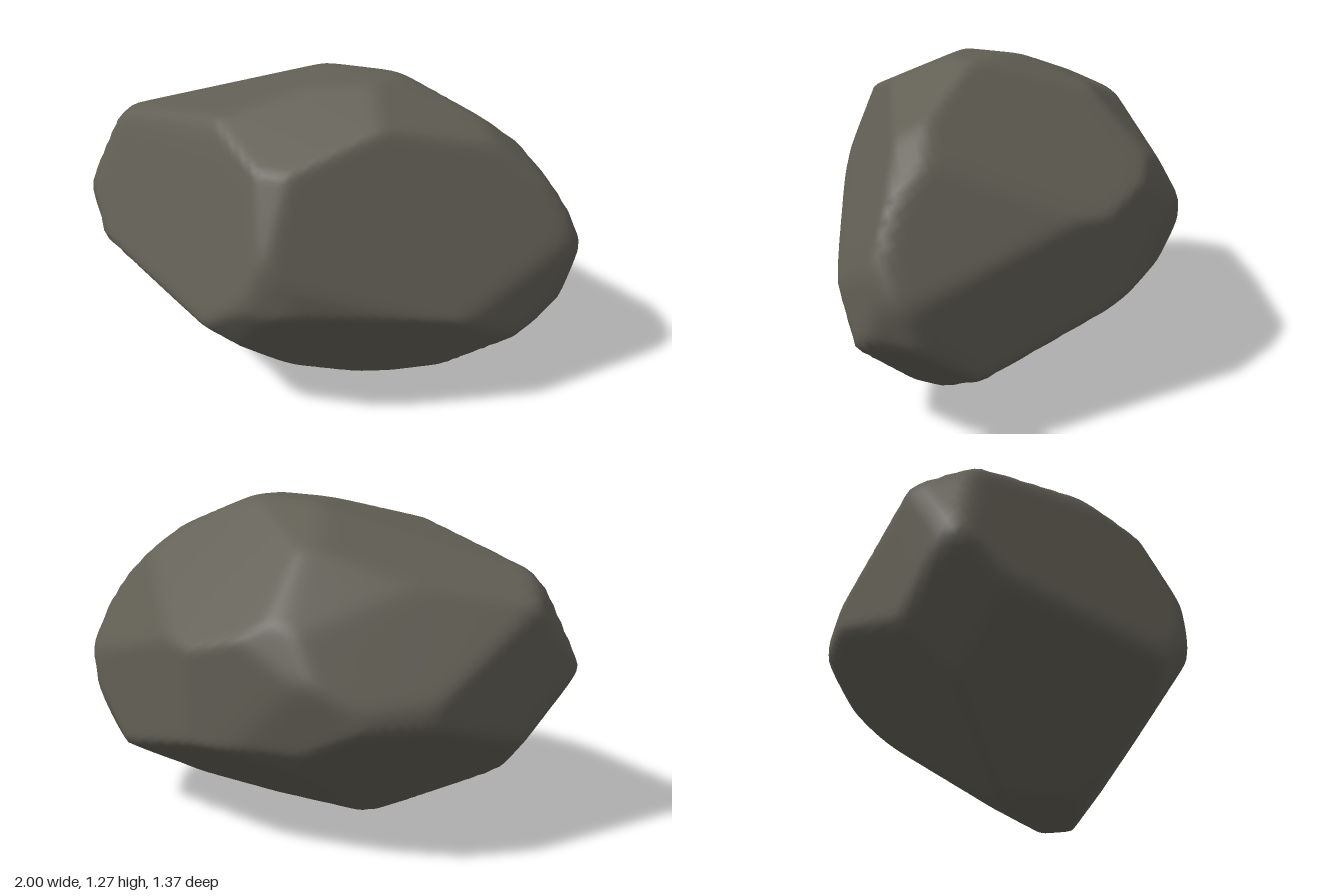
import * as THREE from 'three';
import { mergeVertices } from 'three/addons/utils/BufferGeometryUtils.js';

const MIDDLE = 0.635; // height of the rock's middle
const WEAR = 120;     // higher is sharper

// Corners of the three outlines, a touch generous where the edges wear down
const frontOutline = [[-1.02, .66], [-.75, .26], [-.47, .06], [-.3, -.01], [.15, -.01], [.53, .07], [.95, .43],
  [1.01, .62], [.96, .78], [.87, .91], [.57, 1.165], [.26, 1.28], [0, 1.26], [-.81, 1.025], [-.87, .97]];
const sideOutline = [[.7, .6], [.67, .8], [.53, 1.075], [.08, 1.28], [-.04, 1.275], [-.39, 1.12], [-.62, .9],
  [-.69, .7], [-.64, .43], [-.5, .28], [-.08, -.01], [.2, .03], [.53, .24]];
const topOutline = [[-1.02, .14], [-.99, -.02], [-.62, -.51], [-.4, -.65], [-.2, -.7], [.31, -.6],
  [.98, -.15], [1.01, -.1], [.98, .01], [.62, .375], [.08, .66], [-.07, .695], [-.25, .65]];

// Broad slanted facets: outward direction and distance from the middle
const facets = [
  [-.40, -.76, .51, .58],  // front right underside
  [-.52, .29, .80, .605],  // front right
  [-.50, .56, .66, .675],  // front right shoulder
  [.55, .33, .77, .57],    // front left
  [.31, -.57, .76, .56],   // front left underside
  [.39, .89, .24, .675],   // left crown
  [.32, .71, -.62, .57],   // back left shoulder
  [.60, .44, -.67, .67],   // back left
  [.09, -.84, -.54, .54],  // back underside
  [-.31, .90, -.30, .595], // right crown
  [-.26, .71, -.65, .615], // back right shoulder
  [-.43, .50, -.75, .65],  // back right
  [-.35, -.75, -.55, .57], // back right underside
];

// A cutting plane is stored as its outward direction over its distance
const facetPlanes = () => facets.map(([x, y, z, d]) => new THREE.Vector3(x, y, z).normalize().divideScalar(d));

// One plane through every outline edge; toSpace turns a flat direction into a 3D one
function outlinePlanes(corners, centreHeight, toSpace) {
  return corners.map(([x0, y0], i) => {
    const [x1, y1] = corners[(i + 1) % corners.length];
    const nx = y1 - y0, ny = x0 - x1;
    const d = nx * x0 + ny * (y0 - centreHeight);
    return toSpace(nx / d, ny / d);
  });
}

// A fine ball trimmed by all the planes, with slightly worn edges
function boulderGeometry() {
  const planes = [
    ...facetPlanes(),
    ...outlinePlanes(frontOutline, MIDDLE, (a, b) => new THREE.Vector3(a, b, 0)),
    ...outlinePlanes(sideOutline, MIDDLE, (a, b) => new THREE.Vector3(0, b, a)),
    ...outlinePlanes(topOutline, 0, (a, b) => new THREE.Vector3(a, 0, b)),
  ];
  const ball = new THREE.IcosahedronGeometry(1, 30);
  ball.deleteAttribute('uv');
  ball.deleteAttribute('normal');
  const geometry = mergeVertices(ball, 1e-4);
  const position = geometry.attributes.position;
  const v = new THREE.Vector3();
  for (let i = 0; i < position.count; i++) {
    v.fromBufferAttribute(position, i);
    const sum = planes.reduce((s, p) => s + Math.max(0, p.dot(v)) ** WEAR, 0);
    v.multiplyScalar(sum ** (-1 / WEAR));
    position.setXYZ(i, v.x, v.y + MIDDLE, v.z);
  }
  geometry.computeVertexNormals();
  return geometry;
}

export function createModel() {
  const group = new THREE.Group();
  group.name = 'rock';
  const stone = new THREE.MeshStandardMaterial({ color: 0x625f55 });
  stone.name = 'grey stone';
  const boulder = new THREE.Mesh(boulderGeometry(), stone);
  boulder.name = 'boulder';
  group.add(boulder);
  return group;
}
